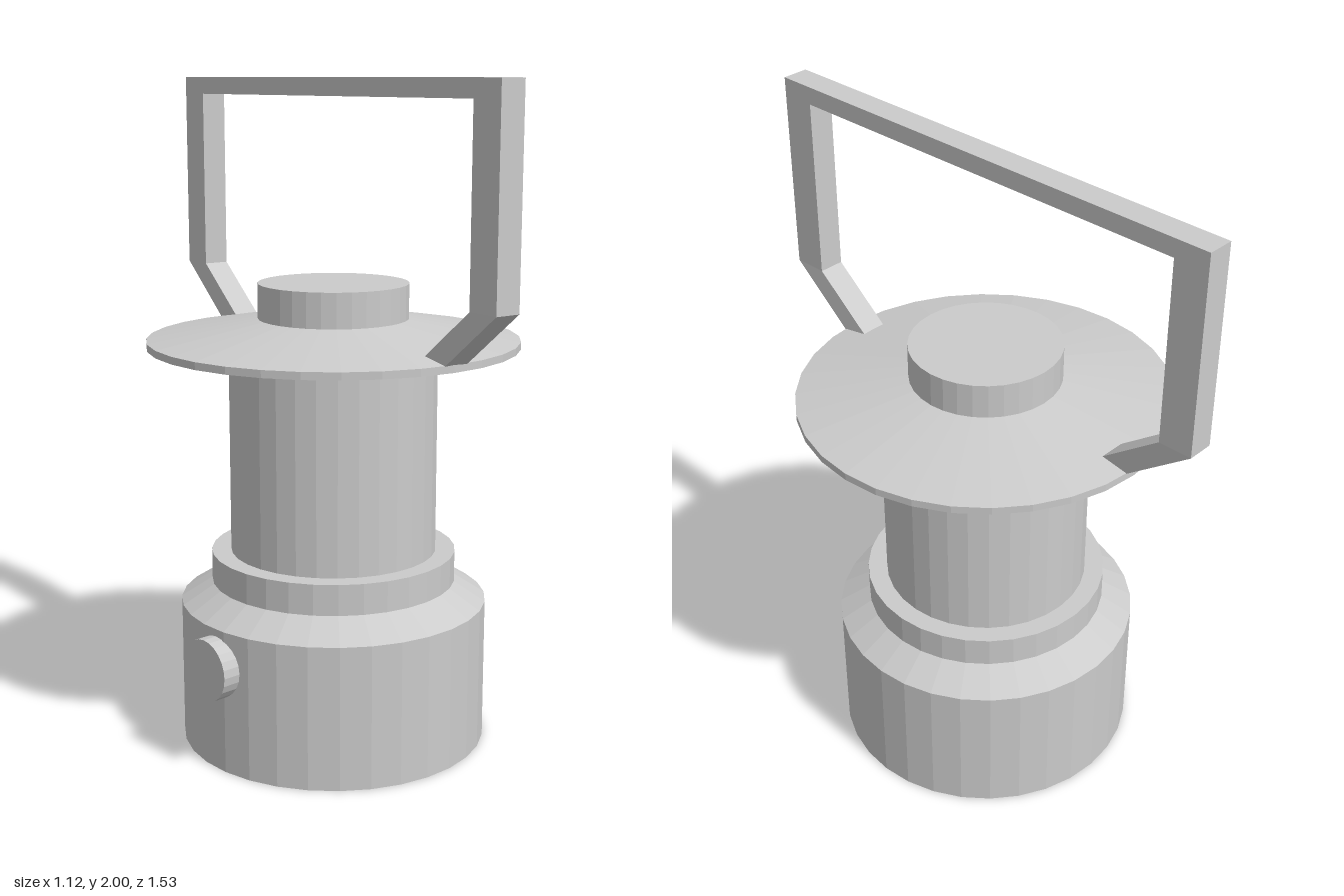
import * as THREE from 'three';

const material = new THREE.MeshStandardMaterial({ color: 0xcccccc, flatShading: true });
const SIDES = 32;

function addMesh(parent, name, geometry) {
  const mesh = new THREE.Mesh(geometry, material);
  mesh.name = name;
  parent.add(mesh);
  return mesh;
}

// Turned part from [radius, height] pairs, listed bottom to top
function turned(points) {
  return new THREE.LatheGeometry(points.map(([r, y]) => new THREE.Vector2(r, y)), SIDES);
}

// Flat bar outline given as [z, y] pairs, extruded across x and centred
function bar(points, width) {
  const shape = new THREE.Shape(points.map(([z, y]) => new THREE.Vector2(z, y)));
  const geometry = new THREE.ExtrudeGeometry(shape, { depth: width, bevelEnabled: false });
  return geometry.translate(0, 0, -width / 2).rotateY(-Math.PI / 2);
}

export function createModel() {
  const lantern = new THREE.Group();
  lantern.name = 'lantern';

  // Body of revolution
  addMesh(lantern, 'base', turned([
    [0, 0], [0.468, 0], [0.468, 0.435], [0.373, 0.495], [0.373, 0.588], [0, 0.588],
  ]));
  addMesh(lantern, 'lampColumn', turned([[0.314, 0.58], [0.314, 1.225]]));
  addMesh(lantern, 'brim', turned([
    [0, 1.218], [0.558, 1.218], [0.558, 1.24], [0.226, 1.3], [0, 1.3],
  ]));
  addMesh(lantern, 'topCap', turned([[0.226, 1.295], [0.226, 1.405], [0, 1.405]]));

  // Round knob on the side of the base
  const knobPivot = new THREE.Group();
  knobPivot.name = 'knobMount';
  knobPivot.rotation.y = THREE.MathUtils.degToRad(7);
  const knob = addMesh(knobPivot, 'knob',
    new THREE.CylinderGeometry(0.093, 0.093, 0.08, 24).rotateZ(Math.PI / 2));
  knob.position.set(-0.472, 0.32, 0);
  lantern.add(knobPivot);

  // Carrying handle: squared arch with two slanted arms
  const handle = new THREE.Group();
  handle.name = 'handle';
  lantern.add(handle);
  addMesh(handle, 'handleArch', bar([
    [-0.765, 1.4], [-0.66, 1.4], [-0.66, 1.947], [0.66, 1.947],
    [0.66, 1.4], [0.765, 1.4], [0.765, 2], [-0.765, 2],
  ], 0.08));
  for (const side of [1, -1]) {
    const arm = bar([[0.765, 1.4], [0.66, 1.4], [0.455, 1.243], [0.555, 1.238]], 0.08);
    // The arms lean sideways a touch towards the brim
    const p = arm.attributes.position;
    for (let i = 0; i < p.count; i++) {
      p.setX(i, p.getX(i) + 0.008 * (1.4 - p.getY(i)) / 0.16);
    }
    if (side < 0) arm.rotateY(Math.PI);
    addMesh(handle, side > 0 ? 'frontArm' : 'backArm', arm);
  }

  return lantern;
}
